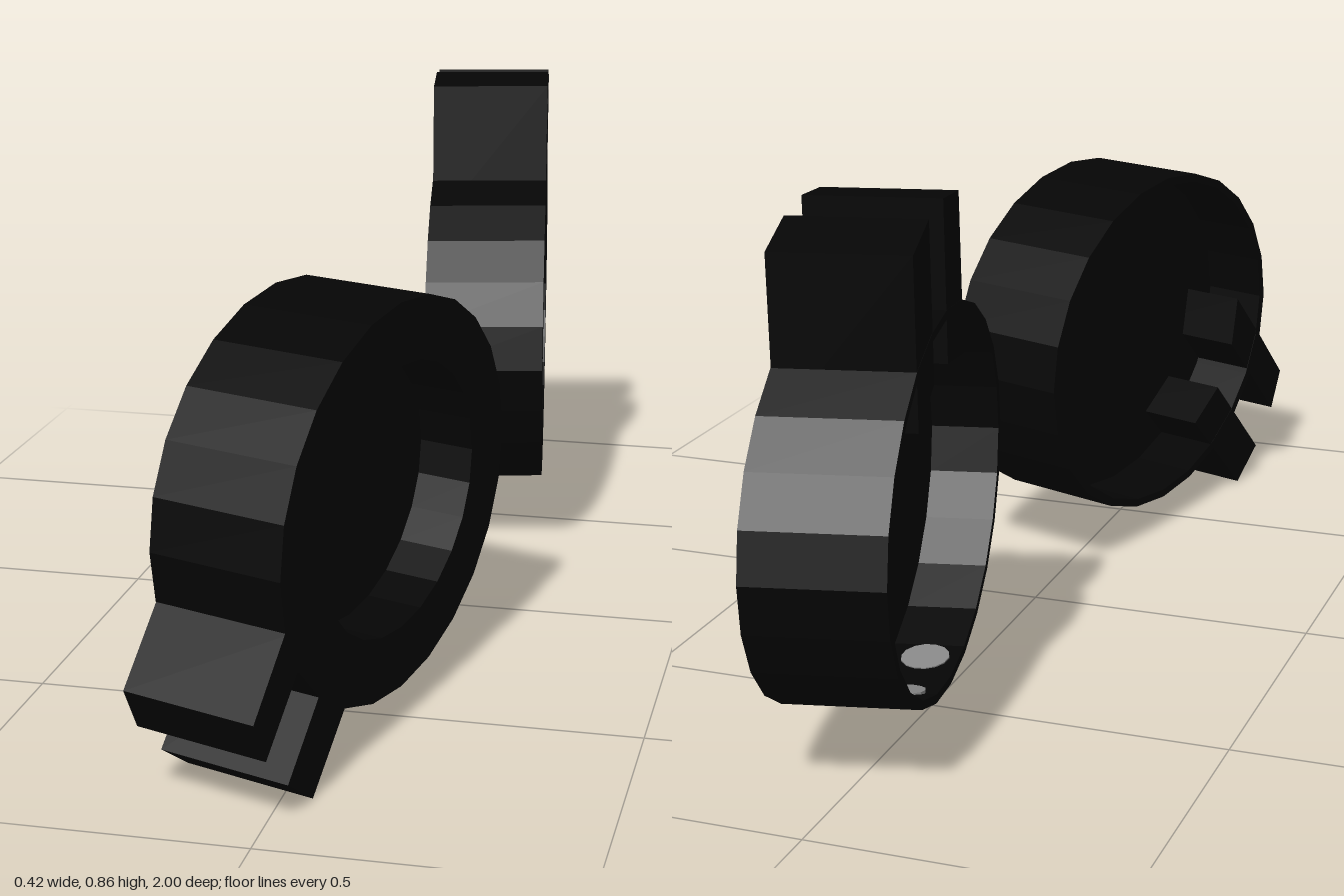
import * as THREE from 'three';

const black = new THREE.MeshStandardMaterial({ color: 0x050505, flatShading: true });
black.name = 'black';
const grey = new THREE.MeshStandardMaterial({ color: 0x8a8a8a, flatShading: true });
grey.name = 'grey';

// Maps a unit disc (axis z, from -1 to 1) onto a skewed oval body.
function frame({ centre, width, axis, height }) {
  return new THREE.Matrix4()
    .makeBasis(
      new THREE.Vector3(...width),
      new THREE.Vector3(0, height, 0),
      new THREE.Vector3(...axis))
    .setPosition(...centre);
}

function addPart(group, name, geometry, material, matrix) {
  geometry.applyMatrix4(matrix);
  const mesh = new THREE.Mesh(geometry, material);
  mesh.name = name;
  group.add(mesh);
}

// Ring housing: deep thin-walled cup on one side, narrow recess on the other.
function housing() {
  const profile = [
    [0, 0.05], [0.955, 0.05], [0.955, -1], [1, -1],
    [1, 1], [0.68, 1], [0.68, 0.15], [0, 0.15],
  ].map(([r, y]) => new THREE.Vector2(r, y));
  return new THREE.LatheGeometry(profile, 24).rotateX(Math.PI / 2);
}

// Prong: four-cornered outline given as (z, y), run along the housing axis.
// Its root reaches through the wall into the cup.
function prong(corners, { centre, width, height }) {
  const points = corners.map(([z, y]) => new THREE.Vector2(
    (z - centre[2]) / width[2], (y - centre[1]) / height));
  return new THREE.ExtrudeGeometry(new THREE.Shape(points), { depth: 1.99, bevelEnabled: false })
    .translate(0, 0, -0.995);
}

// Small round patch showing on both faces of the thin cup wall.
function wallPatch(angle, size) {
  return new THREE.CylinderGeometry(1, 1, 0.064, 14)
    .scale(0.1 * size, 1, 0.36 * size)
    .translate(0, -0.971, -0.5)
    .rotateZ(angle);
}

const frontBody = {
  centre: [0.003, 0.375, 0.478], width: [0.087, 0, -0.398], axis: [0.11, 0, 0.04], height: 0.315,
  prongs: [
    [[0.765, 0.39], [0.865, 0.29], [0.96, 0.19], [0.925, 0.12], [0.745, 0.30]],
    [[0.69, 0.225], [0.86, 0.055], [0.783, 0], [0.60, 0.175]],
  ],
};
const rearBody = {
  centre: [0.045, 0.38, -0.589], width: [-0.06, 0, -0.388], axis: [0.105, 0, -0.025], height: 0.307,
  prongs: [
    [[-0.502, 0.853], [-0.605, 0.863], [-0.585, 0.60], [-0.475, 0.585]],
    [[-0.697, 0.853], [-0.797, 0.822], [-0.777, 0.55], [-0.675, 0.595]],
  ],
};

function clamp(name, body) {
  const group = new THREE.Group();
  group.name = name;
  const matrix = frame(body);
  addPart(group, 'ringHousing', housing(), black, matrix);
  body.prongs.forEach((corners, i) =>
    addPart(group, `prong${i + 1}`, prong(corners, body), black, matrix));
  return group;
}

export function createModel() {
  const model = new THREE.Group();
  model.name = 'ringClampPair';
  const front = clamp('frontRingClamp', frontBody);
  const rear = clamp('rearRingClamp', rearBody);

  // Patches under the rear ring
  const matrix = frame(rearBody);
  addPart(rear, 'largeWallPatch', wallPatch(-0.15, 1), grey, matrix);
  addPart(rear, 'smallWallPatch', wallPatch(0.25, 0.9), grey, matrix);

  model.add(front, rear);
  return model;
}
